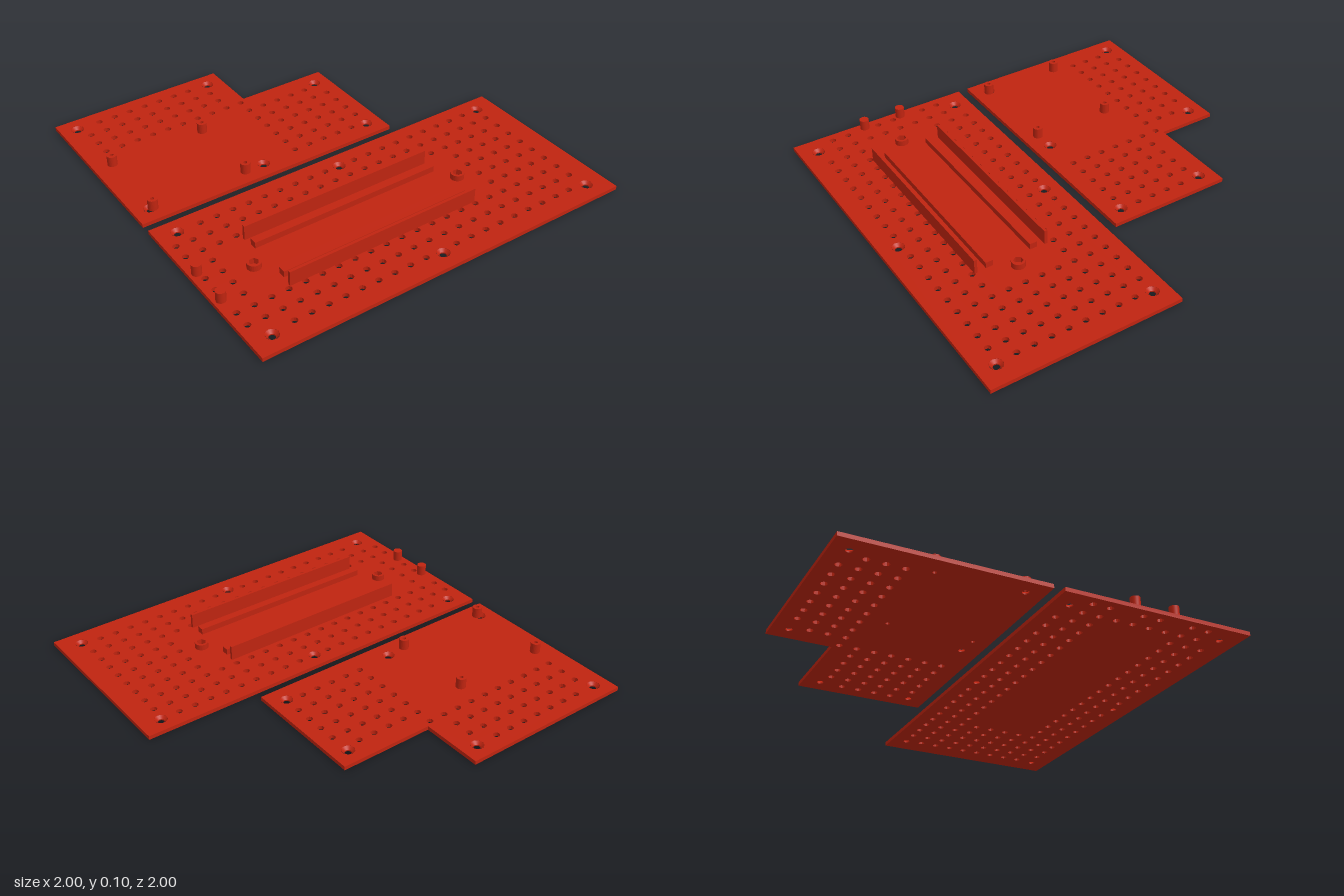
import * as THREE from 'three';

const T = 0.02;       // plate thickness
const PITCH = 0.087;  // spacing of the hole grid
const HOLE_R = 0.0165;
const MOUNT_R = 0.032;

const red = new THREE.MeshStandardMaterial({ color: 0xbf2410 });
red.name = 'red plastic';

function add(group, name, geometry, x = 0, y = 0, z = 0) {
  const mesh = new THREE.Mesh(geometry, red);
  mesh.name = name;
  mesh.position.set(x, y, z);
  group.add(mesh);
}

// Upright extrusion of a plan outline given as [x, z]; holes are [x, z, radius, sides]
function slab(outline, holes, height) {
  const shape = new THREE.Shape(outline.map(([x, z]) => new THREE.Vector2(x, -z)));
  for (const [x, z, r, sides = 16] of holes) {
    const pts = [];
    for (let i = 0; i < sides; i++) {
      const a = (i / sides) * Math.PI * 2;
      pts.push(new THREE.Vector2(x + r * Math.cos(a), -z + r * Math.sin(a)));
    }
    shape.holes.push(new THREE.Path(pts));
  }
  return new THREE.ExtrudeGeometry(shape, { depth: height, bevelEnabled: false }).rotateX(-Math.PI / 2);
}

function circle(r, sides = 24) {
  return Array.from({ length: sides }, (_, i) => {
    const a = (i / sides) * Math.PI * 2;
    return [r * Math.cos(a), -r * Math.sin(a)];
  });
}

// Grid holes: each row lists inclusive column ranges
function gridHoles(x0, z0, rows) {
  const holes = [];
  rows.forEach((ranges, j) => {
    for (const [from, to] of ranges) {
      for (let i = from; i <= to; i++) holes.push([x0 + i * PITCH, z0 + j * PITCH, HOLE_R, 12]);
    }
  });
  return holes;
}

// Plate with its grid, plus countersunk rings in the mounting holes
function plate(group, name, outline, grid, mounts, extra) {
  const holes = [...grid, ...mounts.map(([x, z]) => [x, z, MOUNT_R, 24]), ...extra];
  add(group, name, slab(outline, holes, T));
  const profile = [[MOUNT_R, T], [MOUNT_R, 0], [0.0165, 0], [0.0165, 0.006], [MOUNT_R - 0.001, T]];
  // separate segments keep the edges of the ring sharp
  for (const [x, z] of mounts) {
    for (let k = 1; k < profile.length - 1; k++) {
      const pts = [profile[k + 1], profile[k]].map(([r, y]) => new THREE.Vector2(r, y));
      const ring = new THREE.LatheGeometry(pts.reverse(), 24);
      ring.scale(1, 1, -1); // mirrored so the faces look into the hole
      const index = ring.index.array;
      if (!facesInward(ring)) flip(index);
      ring.computeVertexNormals();
      add(group, 'countersink', ring, x, 0, z);
    }
  }
}

function flip(index) {
  for (let i = 0; i < index.length; i += 3) [index[i], index[i + 1]] = [index[i + 1], index[i]];
}

// True when the faces look to the axis, or downward for a flat ring
function facesInward(geometry) {
  const p = geometry.attributes.position, ix = geometry.index.array;
  let sum = 0;
  for (let i = 0; i < ix.length; i += 3) {
    const [a, b, c] = [0, 1, 2].map((k) => new THREE.Vector3().fromBufferAttribute(p, ix[i + k]));
    const mid = a.clone().add(b).add(c).setY(0).normalize();
    const n = b.clone().sub(a).cross(c.clone().sub(a));
    const horizontal = n.dot(mid);
    sum += Math.abs(horizontal) > 1e-9 ? horizontal : n.y;
  }
  return sum < 0;
}

export function createModel() {
  const model = new THREE.Group();
  model.name = 'perforatedMountingPlates';

  // Front plate
  const front = new THREE.Group();
  front.name = 'frontPlateAssembly';
  model.add(front);
  const edge = [[2, 10], [12, 20]], full = [[0, 21]];
  const frontRows = [
    edge, full, full,
    [[1, 1], [17, 21]], [[0, 1], [17, 21]], [[0, 1], [17, 21]], [[1, 1], [17, 21]],
    full, full, edge,
  ];
  const frontMounts = [];
  for (const x of [-0.895, 0.005, 0.89]) for (const z of [0.107, 0.907]) frontMounts.push([x, z]);
  plate(front, 'frontPlate', [[-1, 1], [1, 1], [1, 0.025], [-1, 0.025]],
    gridHoles(-0.949, 0.107, frontRows), frontMounts, []);

  // Card slot: tall thin outer walls and low inner rails
  for (const z of [0.324, 0.697]) add(front, 'slotWall', new THREE.BoxGeometry(1.034, 0.077, 0.015), -0.157, T + 0.0375, z);
  for (const z of [0.389, 0.624]) add(front, 'slotRail', new THREE.BoxGeometry(1.02, 0.032, 0.038), -0.155, T + 0.015, z);

  // Screw bosses with a hexagonal recess at the slot ends
  for (const x of [-0.735, 0.418]) {
    add(front, 'screwBoss', slab(circle(0.034), [[0, 0, 0.024, 6]], 0.031), x, T - 0.001, 0.51);
  }
  // Solid pegs at the left-hand end of the view
  for (const z of [0.405, 0.612]) {
    add(front, 'peg', new THREE.CylinderGeometry(0.024, 0.024, 0.056, 24), -0.962, T + 0.027, z);
  }

  // Back plate with a notched corner
  const back = new THREE.Group();
  back.name = 'backPlateAssembly';
  model.add(back);
  const right = [[9, 14]];
  const backRows = [
    [[1, 7]], [[0, 8]], [[0, 8]], [[0, 9]],
    [[9, 13]], right, right, right, right, [[9, 13]],
  ];
  const backMounts = [
    [-0.915, -0.917], [-0.15, -0.917], [0.337, -0.597],
    [0.337, -0.12], [-0.29, -0.12], [-0.915, -0.12],
  ];
  const posts = [[-0.902, -0.113], [-0.902, -0.538], [-0.397, -0.538], [-0.397, -0.113]];
  plate(back, 'backPlate',
    [[-1, -0.03], [0.422, -0.03], [0.422, -0.682], [-0.063, -0.682], [-0.063, -1], [-1, -1]],
    gridHoles(-0.879, -0.917, backRows), backMounts,
    posts.slice(1).map(([x, z]) => [x, z, 0.01, 12])); // first post sits over a mounting hole

  // Hollow standoff posts
  for (const [x, z] of posts) add(back, 'standoff', slab(circle(0.025), [[0, 0, 0.01, 12]], 0.056), x, T - 0.001, z);

  return model;
}
